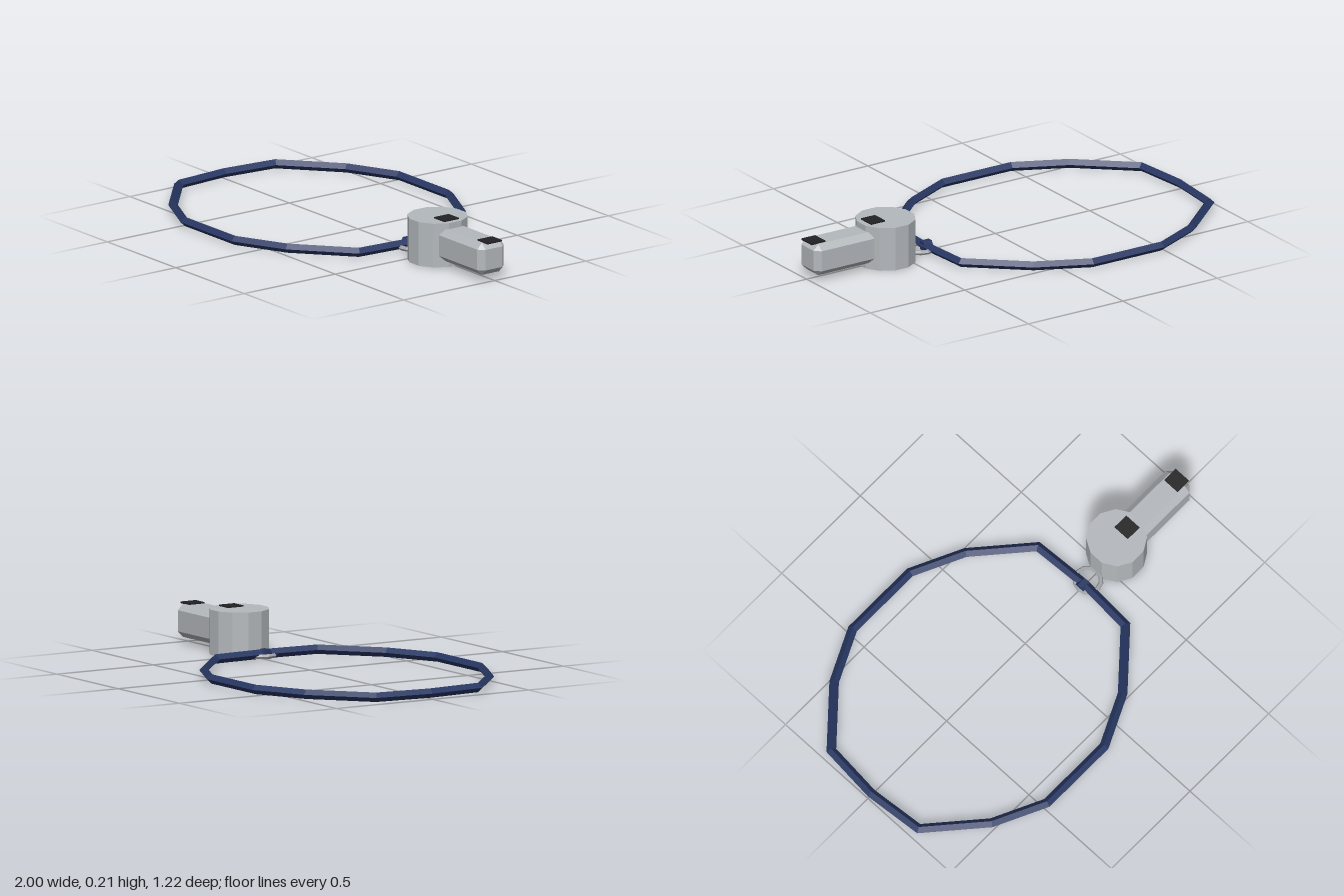
import * as THREE from 'three';
import { ConvexGeometry } from 'three/addons/geometries/ConvexGeometry.js';

const material = (name, color) => {
  const m = new THREE.MeshStandardMaterial({ color });
  m.name = name;
  return m;
};

// Closed loop of diamond-section cord with mitred corners, lying flat at height y
function cordGeometry(path, y, r) {
  const n = path.length;
  const rings = path.map((p, i) => {
    const a = p.clone().sub(path[(i + n - 1) % n]).normalize();
    const b = path[(i + 1) % n].clone().sub(p).normalize();
    const t = a.clone().add(b).normalize();
    const w = r / t.dot(a);
    const ox = t.y * w, oz = -t.x * w; // sideways offset
    return [
      [p.x + ox, y, p.y + oz], [p.x, y + r, p.y],
      [p.x - ox, y, p.y - oz], [p.x, y - r, p.y],
    ];
  });
  const pos = [];
  for (let i = 0; i < n; i++) {
    const A = rings[i], B = rings[(i + 1) % n];
    for (let k = 0; k < 4; k++) {
      const m = (k + 1) % 4;
      pos.push(...A[k], ...B[m], ...B[k], ...A[k], ...A[m], ...B[m]);
    }
  }
  const g = new THREE.BufferGeometry();
  g.setAttribute('position', new THREE.Float32BufferAttribute(pos, 3));
  g.computeVertexNormals();
  return g;
}

// Box with every edge and corner chamfered by c
function chamferBox(w, h, d, c) {
  const pts = [];
  for (const x of [-w / 2, w / 2]) for (const y of [-h / 2, h / 2]) for (const z of [-d / 2, d / 2]) {
    const ix = x - Math.sign(x) * c, iy = y - Math.sign(y) * c, iz = z - Math.sign(z) * c;
    pts.push(new THREE.Vector3(x, iy, iz), new THREE.Vector3(ix, y, iz), new THREE.Vector3(ix, iy, z));
  }
  return new ConvexGeometry(pts);
}

export function createModel() {
  const group = new THREE.Group();
  group.name = 'whistleOnLanyard';

  const silver = material('silver', 0xb4b9bd);
  const steel = material('ringSteel', 0xa2a5a8);
  const navy = material('navyCord', 0x283763);
  const black = material('blackPlate', 0x222224);
  for (const m of [silver, steel, navy, black]) m.flatShading = true;

  const add = (name, geometry, mat, x = 0, y = 0, z = 0) => {
    const mesh = new THREE.Mesh(geometry, mat);
    mesh.name = name;
    mesh.position.set(x, y, z);
    group.add(mesh);
    return mesh;
  };

  // Lanyard loop, half described and mirrored across z
  const half = [[0.36, 0.265], [0.12, 0.477], [-0.115, 0.589], [-0.48, 0.589], [-0.715, 0.477], [-0.955, 0.265]];
  const path = [
    [0.375, 0], ...half, [-0.979, 0],
    ...half.slice().reverse().map(([x, z]) => [x, -z]),
  ].map(([x, z]) => new THREE.Vector2(x, z));
  add('lanyardCord', cordGeometry(path, 0.025, 0.021), navy);

  // Knot that grips the split ring
  const knot = add('lanyardKnot', new THREE.CylinderGeometry(0.024, 0.024, 0.044, 6), navy, 0.367, 0.026, 0);
  knot.rotation.z = Math.PI / 2;

  // Split ring lying flat
  const ring = add('splitRing', new THREE.TorusGeometry(0.058, 0.011, 6, 12), steel, 0.4, 0.017, 0);
  ring.rotation.x = Math.PI / 2;

  // Whistle chamber, a twelve-sided drum
  const drum = add('whistleChamber', new THREE.CylinderGeometry(0.134, 0.134, 0.2, 12), silver, 0.582, 0.1, 0);
  drum.rotation.y = Math.PI / 12;

  // Mouthpiece
  add('mouthpiece', chamferBox(0.36, 0.146, 0.146, 0.026), silver, 0.815, 0.1, 0);

  // Dark openings on the chamber and at the mouthpiece tip
  add('chamberSlot', new THREE.BoxGeometry(0.074, 0.007, 0.08), black, 0.648, 0.2025, 0);
  add('mouthpieceSlot', new THREE.BoxGeometry(0.072, 0.007, 0.08), black, 0.964, 0.1755, 0);

  return group;
}
